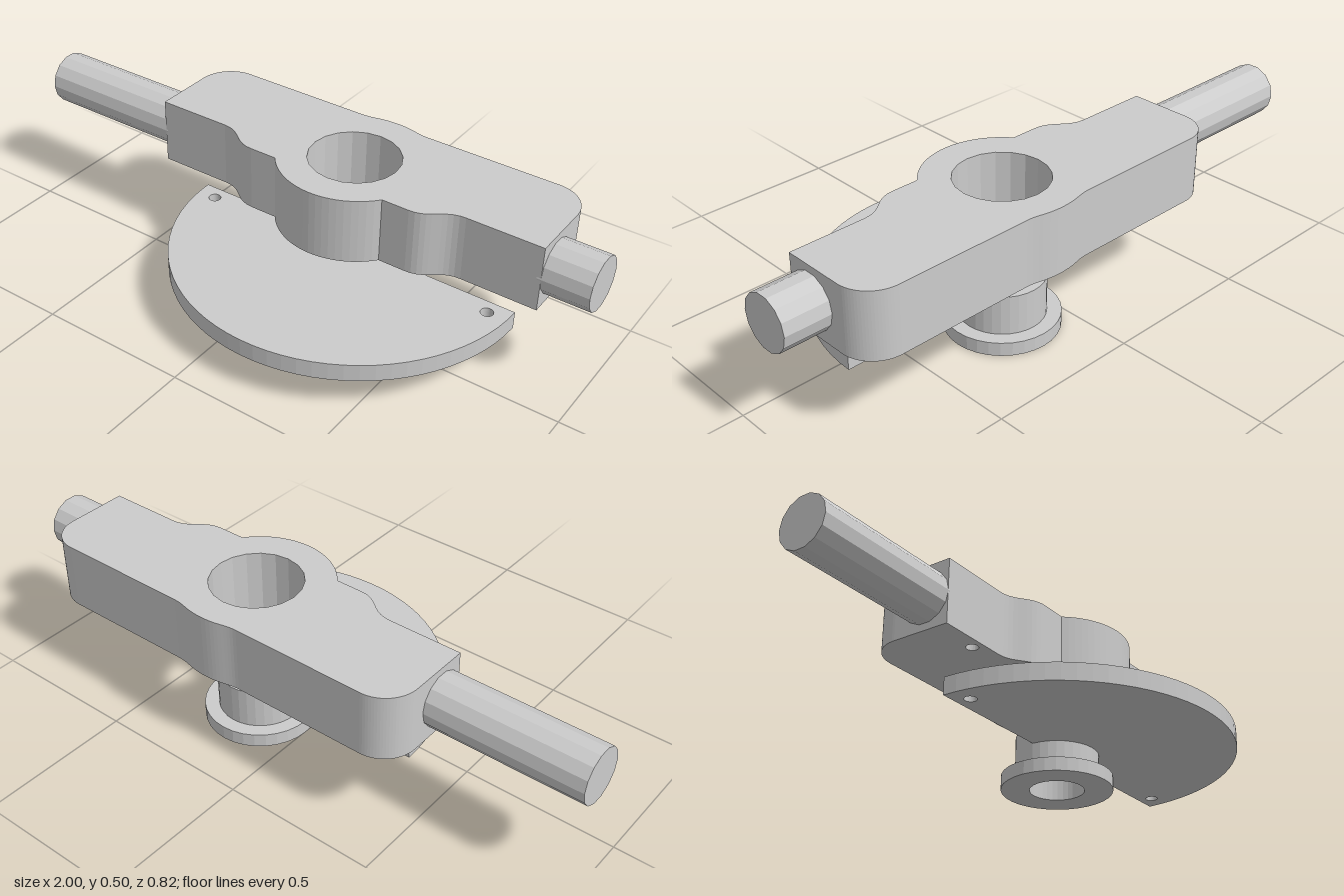
import * as THREE from 'three';

const HUB_X = 0.178, HUB_Z = -0.165; // vertical axis shared by the body, plate and spindle
const BORE = 0.145, SCREW_X = 0.51, SCREW_Z = 0.048, SCREW_R = 0.02;

const material = new THREE.MeshStandardMaterial({ color: 0xcccccc, flatShading: true });

function part(name, geometry) {
  const mesh = new THREE.Mesh(geometry, material);
  mesh.name = name;
  return mesh;
}

// Extrudes a plan outline (x, z about the hub axis) between two heights
function slab(name, shape, bottom, top, curveSegments) {
  const geometry = new THREE.ExtrudeGeometry(shape, { depth: top - bottom, bevelEnabled: false, curveSegments });
  geometry.rotateX(Math.PI / 2).translate(HUB_X, top, HUB_Z);
  return part(name, geometry);
}

function addHole(shape, x, z, r) {
  shape.holes.push(new THREE.Path().absarc(x, z, r, 0, Math.PI * 2, true));
}

function addScrewHoles(shape) {
  for (const side of [-1, 1]) addHole(shape, side * SCREW_X, SCREW_Z, SCREW_R);
}

// Body plan: straight bar with rounded back corners, stepped front and round boss
function bodyShape() {
  const w = 0.675, back = -0.225, front = 0.085, shoulder = 0.148, r = 0.11, boss = 0.241;
  const a = Math.asin(shoulder / boss);
  const s = new THREE.Shape();
  s.moveTo(-w, front);
  s.lineTo(-w, back + r);
  s.absarc(-w + r, back + r, r, Math.PI, Math.PI * 1.5, false);
  s.lineTo(-0.12, back);
  s.bezierCurveTo(-0.08, back, -0.06, -boss, 0, -boss);
  s.bezierCurveTo(0.06, -boss, 0.08, back, 0.12, back);
  s.lineTo(w - r, back);
  s.absarc(w - r, back + r, r, Math.PI * 1.5, Math.PI * 2, false);
  s.lineTo(w, front);
  s.lineTo(0.43, front);
  s.bezierCurveTo(0.36, front, 0.35, shoulder, 0.28, shoulder);
  s.lineTo(boss * Math.cos(a), shoulder);
  s.absarc(0, 0, boss, a, Math.PI - a, false);
  s.lineTo(-0.28, shoulder);
  s.bezierCurveTo(-0.35, shoulder, -0.36, front, -0.43, front);
  s.closePath();
  addHole(s, 0, 0, BORE);
  return s;
}

// Half disc with a notch that fits around the spindle
function plateShape() {
  const R = 0.577, notch = 0.132;
  const s = new THREE.Shape();
  s.moveTo(R, 0);
  s.absarc(0, 0, R, 0, Math.PI, false);
  s.lineTo(-notch, 0);
  s.absarc(0, 0, notch, Math.PI, 0, true);
  s.closePath();
  addScrewHoles(s);
  return s;
}

// Horizontal round bar between two x positions
function shaft(name, x0, x1) {
  const geometry = new THREE.CylinderGeometry(0.086, 0.086, x1 - x0, 14);
  geometry.rotateY(Math.PI / 2).rotateZ(Math.PI / 2).rotateX(Math.PI / 2);
  geometry.translate((x0 + x1) / 2, 0.393, HUB_Z);
  // turn about its own axis so that a corner points to the front
  geometry.computeBoundingBox();
  return part(name, geometry);
}

export function createModel() {
  const group = new THREE.Group();

  // Body in two layers, so the screw holes underneath are blind
  const lower = bodyShape();
  addScrewHoles(lower);
  group.add(slab('bodyLower', lower, 0.285, 0.385, 10));
  group.add(slab('bodyUpper', bodyShape(), 0.385, 0.5, 10));

  // Shafts at both ends
  group.add(shaft('longShaft', -1, -0.49));
  group.add(shaft('shortShaft', 0.84, 1));

  // Half-round plate
  group.add(slab('halfRoundPlate', plateShape(), 0.117, 0.175, 20));

  // Hollow flanged spindle
  const profile = [[0.088, 0], [0.18, 0], [0.18, 0.045], [0.135, 0.045], [0.135, 0.175], [0.088, 0.175], [0.088, 0]];
  const spindle = part('spindle', new THREE.LatheGeometry(profile.map(([x, y]) => new THREE.Vector2(x, y)), 32));
  spindle.position.set(HUB_X, 0, HUB_Z);
  group.add(spindle);

  return group;
}
